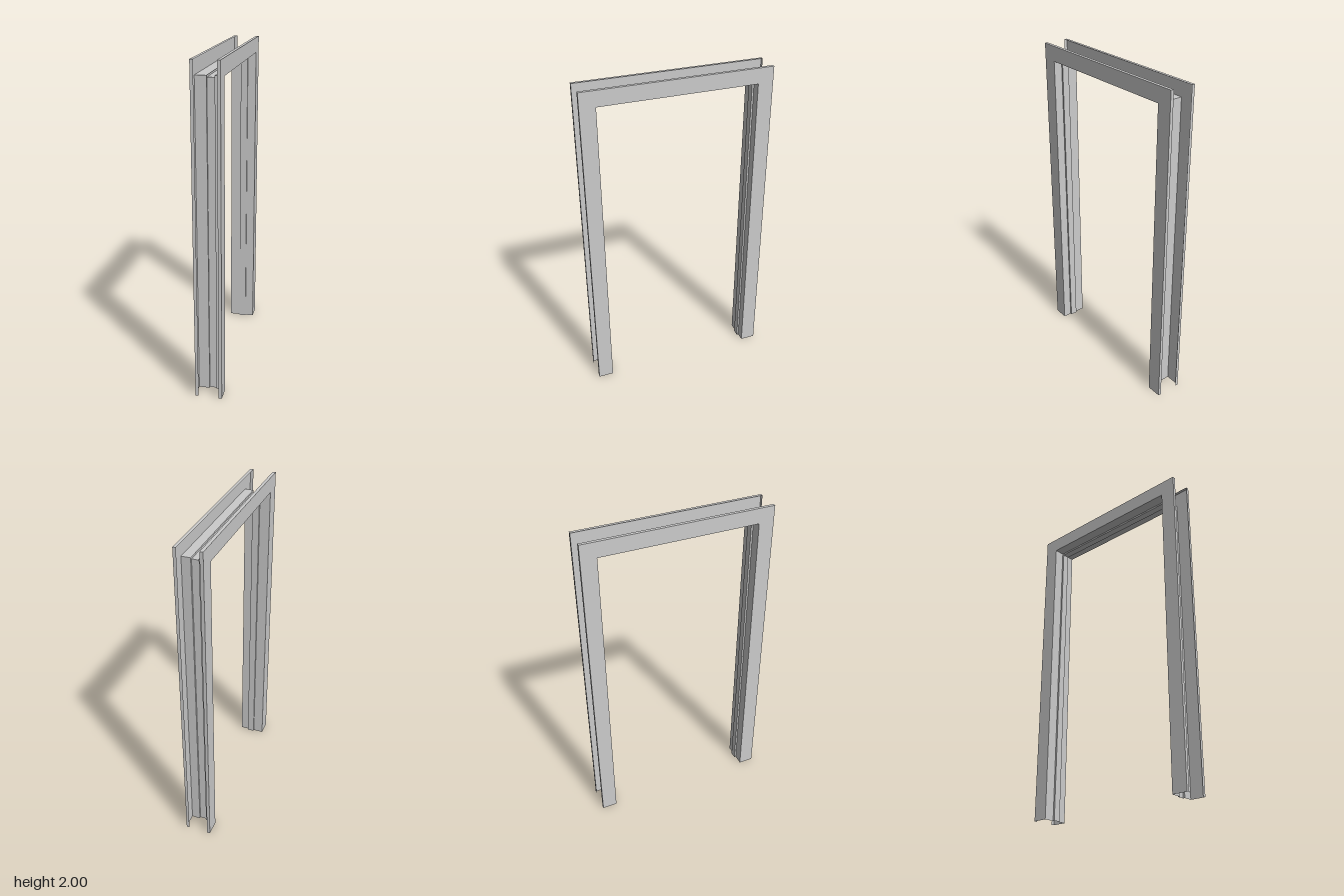
import * as THREE from 'three';

const HEIGHT = 2, HALF_WIDTH = 0.572;
const FACE = 0.094, STOP = 0.105; // depth of the face and of the door stop, from the outer edge

const material = new THREE.MeshStandardMaterial({ color: 0xcccccc, side: THREE.DoubleSide });

// Corners of the frame path at a given depth inward: foot, mitre, mitre, foot
function pathAt([x, depth]) {
  const z = HALF_WIDTH - depth, y = HEIGHT - depth;
  return [[x, 0, z], [x, y, z], [x, y, -z], [x, 0, -z]];
}

// Sweep a folded sheet profile of [x, depth] points up, across and down the opening
function foldedSheet(name, profile) {
  const positions = [];
  for (let i = 0; i < profile.length - 1; i++) {
    const a = pathAt(profile[i]), b = pathAt(profile[i + 1]);
    for (let k = 0; k < 3; k++) {
      positions.push(...a[k], ...a[k + 1], ...b[k + 1], ...a[k], ...b[k + 1], ...b[k]);
    }
  }
  const geometry = new THREE.BufferGeometry();
  geometry.setAttribute('position', new THREE.Float32BufferAttribute(positions, 3));
  geometry.computeVertexNormals();
  const mesh = new THREE.Mesh(geometry, material);
  mesh.name = name;
  return mesh;
}

export function createModel() {
  const group = new THREE.Group();
  group.name = 'doorFrame';
  const outer = 0.081, lip = 0.062, stopRight = -0.016, stopLeft = 0.028;

  // Flat faces on both sides of the wall, with return lips at the outer edge
  group.add(foldedSheet('rightFace', [[-lip, 0], [-outer, 0], [-outer, FACE]]));
  group.add(foldedSheet('leftFace', [[outer, FACE], [outer, 0], [lip, 0]]));

  // Rabbets lining the opening
  group.add(foldedSheet('rightRabbet', [[-outer, FACE], [stopRight, FACE]]));
  group.add(foldedSheet('leftRabbet', [[stopLeft, FACE], [outer, FACE]]));

  // Raised door stop between the rabbets
  group.add(foldedSheet('doorStop', [
    [stopRight, FACE], [stopRight, STOP], [stopLeft, STOP], [stopLeft, FACE],
  ]));
  return group;
}
